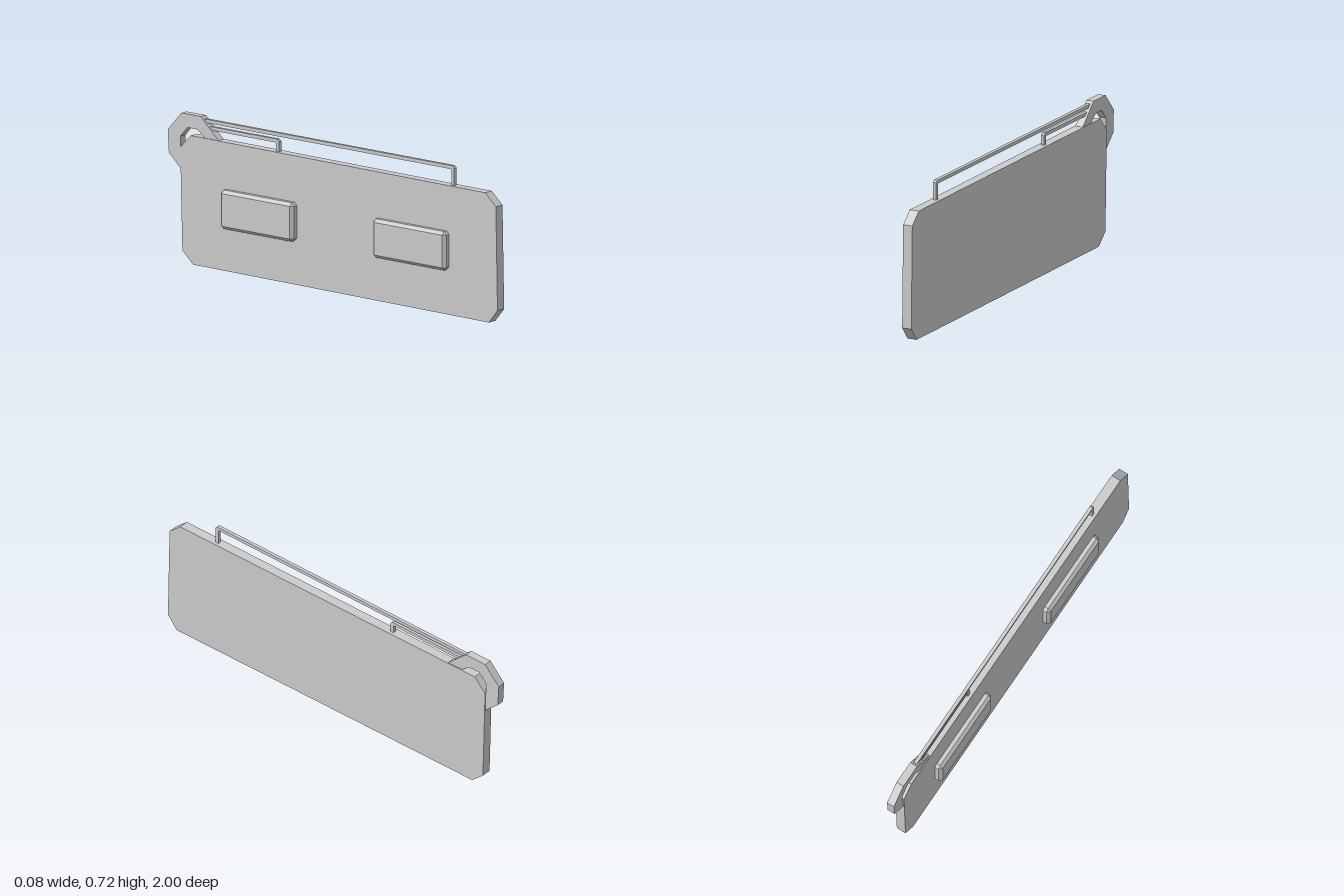
import * as THREE from 'three';
import { ConvexGeometry } from 'three/addons/geometries/ConvexGeometry.js';

const material = new THREE.MeshStandardMaterial({ color: 0xcccccc, flatShading: true });

// Side outline of [z, y] points, given thickness from x0 to x1
function slab(name, outline, x0, x1) {
  const shape = new THREE.Shape(outline.map(([z, y]) => new THREE.Vector2(z, y)));
  const geometry = new THREE.ExtrudeGeometry(shape, { depth: x1 - x0, bevelEnabled: false });
  geometry.rotateY(-Math.PI / 2).translate(x1, 0, 0);
  const mesh = new THREE.Mesh(geometry, material);
  mesh.name = name;
  return mesh;
}

// Bent square wire: a short post at the front, then a long run back to the hook
function wire(name, front, back, top) {
  const t = 0.017, c = 0.01;
  return slab(name, [
    [front, 0.59], [front, top - c], [front - c, top], [back, top], [back, top - t],
    [front - t - 0.004, top - t], [front - t, top - t - 0.004], [front - t, 0.59],
  ], 0.008, 0.025);
}

// Block on the -x face with all outer edges chamfered
function pad(name, z0, z1) {
  const y0 = 0.213, y1 = 0.398, c = 0.015, points = [];
  for (const [z, sz] of [[z0, 1], [z1, -1]]) {
    for (const [y, sy] of [[y0, 1], [y1, -1]]) {
      points.push(new THREE.Vector3(-0.041, y + sy * c, z + sz * c));
      for (const x of [-0.026, -0.005]) {
        points.push(new THREE.Vector3(x, y + sy * c, z), new THREE.Vector3(x, y, z + sz * c));
      }
    }
  }
  const mesh = new THREE.Mesh(new ConvexGeometry(points), material);
  mesh.name = name;
  return mesh;
}

export function createModel() {
  const model = new THREE.Group();
  model.name = 'hangingPanel';

  // Flat panel with clipped corners
  model.add(slab('panel', [
    [0.947, 0], [1, 0.064], [0.99, 0.557], [0.926, 0.614],
    [-0.858, 0.621], [-0.92, 0.556], [-0.907, 0.068], [-0.842, 0.01],
  ], -0.007, 0.041));

  // Faceted loop around the top rear corner, ends sunk into the panel
  model.add(slab('cornerLoop', [
    [-0.67, 0.6], [-0.693, 0.62], [-0.8, 0.719], [-0.917, 0.719], [-0.999, 0.63],
    [-0.993, 0.52], [-0.912, 0.446], [-0.88, 0.42], [-0.86, 0.5],
    [-0.923, 0.55], [-0.923, 0.608], [-0.88, 0.655], [-0.82, 0.655], [-0.75, 0.6],
  ], -0.002, 0.036));

  // Two wires along the top edge
  model.add(wire('longWire', 0.725, -0.82, 0.708));
  model.add(wire('shortWire', -0.335, -0.775, 0.677));

  // Two pads on the side face
  model.add(pad('frontPad', 0.265, 0.707));
  model.add(pad('rearPad', -0.656, -0.214));

  return model;
}
